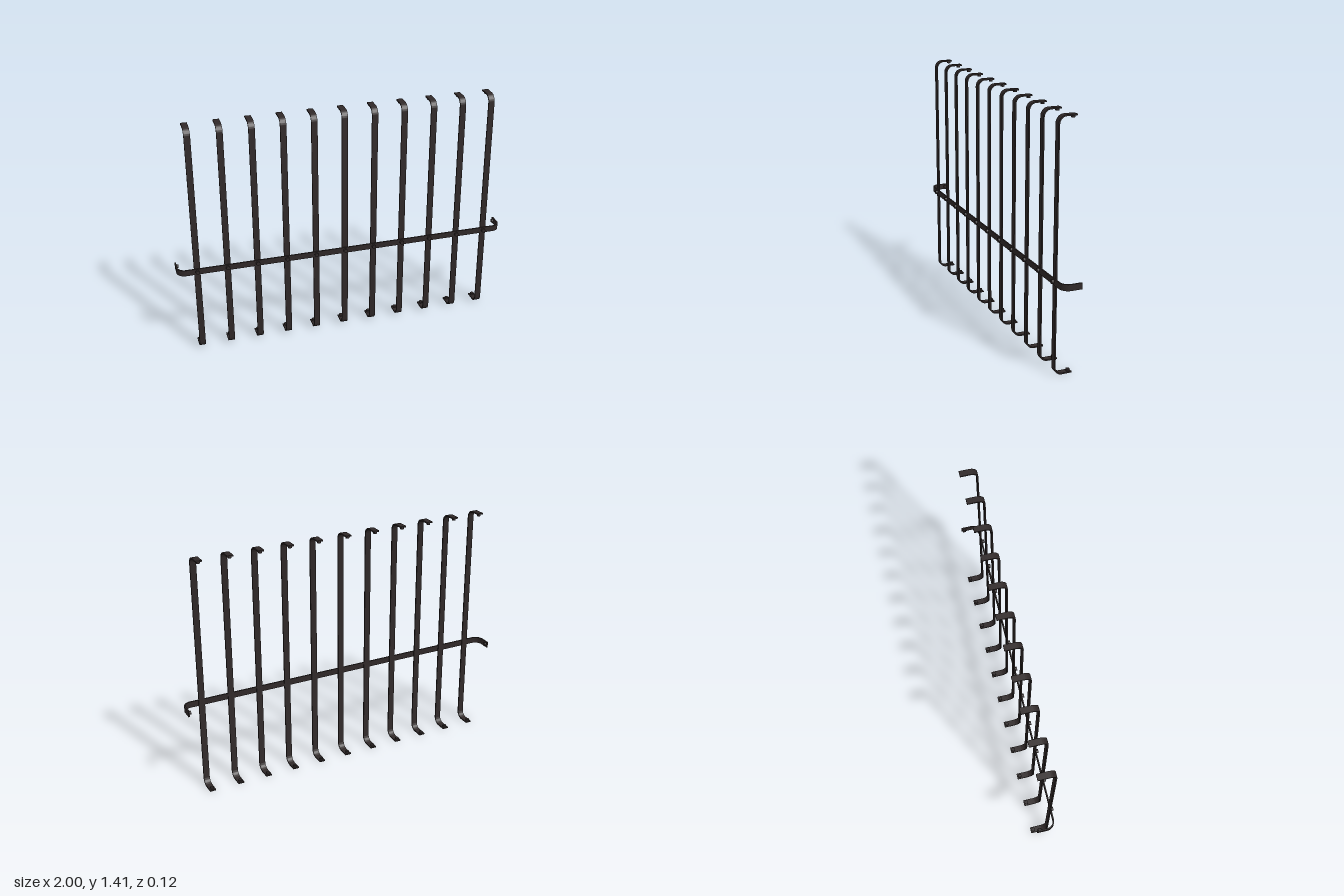
import * as THREE from 'three';
import { toCreasedNormals } from 'three/addons/utils/BufferGeometryUtils.js';

const T = 0.008;      // strip thickness
const W = 0.036;      // strip width
const BACK = -0.06;   // z of the bent tips
const HEIGHT = 1.415;
const RAIL_Y = 0.533;

// Flat strip bent into a shallow U: u runs along its length, v is depth
function bentStrip(length, front, radius) {
  const h = length / 2, i = h - T, r = radius - T, f = front - T;
  const s = new THREE.Shape();
  s.moveTo(-h, BACK);
  s.lineTo(-i, BACK);
  s.lineTo(-i, f - r);
  s.absarc(-i + r, f - r, r, Math.PI, Math.PI / 2, true);
  s.lineTo(i - r, f);
  s.absarc(i - r, f - r, r, Math.PI / 2, 0, true);
  s.lineTo(i, BACK);
  s.lineTo(h, BACK);
  s.lineTo(h, front - radius);
  s.absarc(h - radius, front - radius, radius, 0, Math.PI / 2, false);
  s.lineTo(-h + radius, front);
  s.absarc(-h + radius, front - radius, radius, Math.PI / 2, Math.PI, false);
  const g = new THREE.ExtrudeGeometry(s, { depth: W, bevelEnabled: false, curveSegments: 10 });
  g.translate(0, 0, -W / 2);
  return toCreasedNormals(g, 0.6);
}

export function createModel() {
  const model = new THREE.Group();
  model.name = 'windowGrille';
  const iron = new THREE.MeshStandardMaterial({ color: 0x2f2828 });
  iron.name = 'dark iron';

  const add = (name, geometry, parent, x = 0, y = 0, z = 0) => {
    const mesh = new THREE.Mesh(geometry, iron);
    mesh.name = name;
    mesh.position.set(x, y, z);
    parent.add(mesh);
    return mesh;
  };

  // Upright bars: length turned to y, depth to z, width to x
  const barGeometry = bentStrip(HEIGHT, 0.044, 0.045);
  barGeometry.applyMatrix4(new THREE.Matrix4().makeBasis(
    new THREE.Vector3(0, 1, 0), new THREE.Vector3(0, 0, 1), new THREE.Vector3(1, 0, 0)));

  const screw = new THREE.CylinderGeometry(0.011, 0.011, 0.012, 16);
  const sideScrew = screw.clone().rotateZ(Math.PI / 2);
  const rivet = new THREE.CylinderGeometry(0.012, 0.012, 0.014, 16).rotateX(Math.PI / 2);

  for (let i = -5; i <= 5; i++) {
    const bar = new THREE.Group();
    bar.name = 'uprightBar';
    bar.position.x = i * 0.177;
    model.add(bar);
    add('barStrip', barGeometry, bar, 0, HEIGHT / 2, 0);
    // Screw heads on the inner face of both tips
    add('lowerScrew', screw, bar, 0, T + 0.005, -0.044);
    add('upperScrew', screw, bar, 0, HEIGHT - T - 0.005, -0.044);
    // Rivet joining bar and rail
    add('rivet', rivet, bar, 0, RAIL_Y, 0.055);
  }

  // Cross rail with its ends bent backwards
  const rail = new THREE.Group();
  rail.name = 'crossRail';
  rail.position.y = RAIL_Y;
  model.add(rail);
  add('railStrip', bentStrip(2, 0.05, 0.05).rotateX(Math.PI / 2), rail);
  for (const side of [-1, 1]) {
    add('railScrew', sideScrew, rail, side * (1 - T - 0.005), 0, -0.044);
  }

  return model;
}
